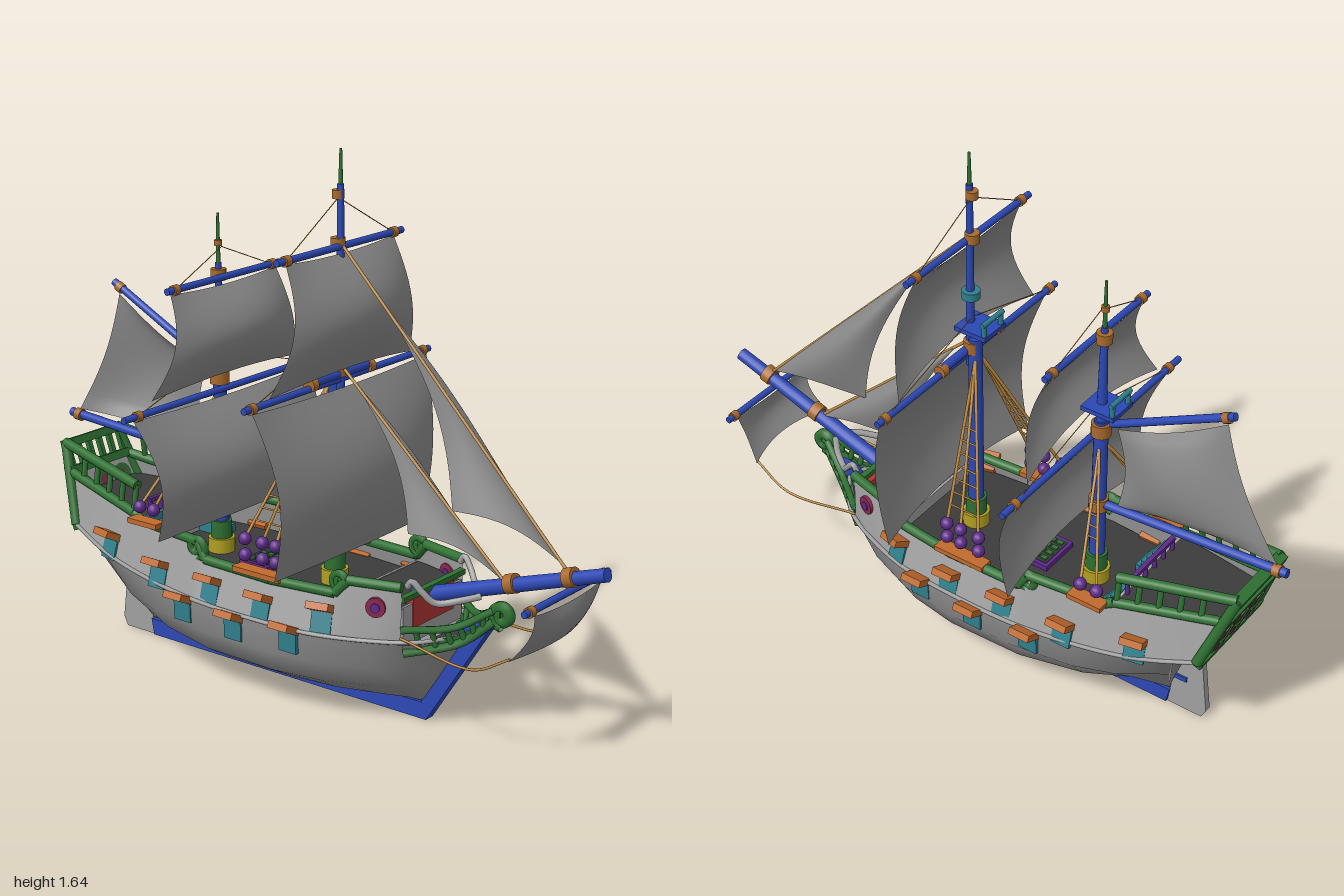
import * as THREE from 'three';

const HULL = 0xa0a0a0, LOWER = 0x8e8e8e, SAIL = 0x8a8a8a, DARK = 0x3c3c3c, BLUE = 0x2c48b4, GREEN = 0x2e7032, ORANGE = 0xc06a2c,
  BAND = 0xa86a2c, ROPE = 0xc08c40, TEAL = 0x2f7f8c, PURPLE = 0x5e2a8a, WINE = 0x84284e, RED = 0xb03434, YELLOW = 0xb0a020;

const lerp = THREE.MathUtils.lerp;
const V = (x, y, z) => new THREE.Vector3(x, y, z);

// Look up a row of values at z in a table sorted from bow to stern
function at(table, z) {
  let i = 0;
  while (i < table.length - 2 && z < table[i + 1][0]) i++;
  const a = table[i], b = table[i + 1];
  const t = THREE.MathUtils.clamp((z - a[0]) / (b[0] - a[0]), 0, 1);
  return a.map((v, k) => lerp(v, b[k], t));
}
// [z, half width, y] of the sheer line; [z, half width, y, z shift] of the bulwark top
const SHEER = [[0.46, 0.13, 0.29], [0.35, 0.19, 0.285], [0.17, 0.245, 0.28], [0, 0.26, 0.28], [-0.25, 0.262, 0.285],
  [-0.45, 0.245, 0.3], [-0.6, 0.225, 0.32], [-0.7, 0.205, 0.34], [-0.83, 0.17, 0.375]];
const TOP = [[0.42, 0.15, 0.452, 0], [0.26, 0.19, 0.45, 0], [0.22, 0.2, 0.405, 0], [0, 0.22, 0.4, 0], [-0.25, 0.22, 0.405, 0],
  [-0.28, 0.218, 0.455, 0], [-0.53, 0.195, 0.46, 0], [-0.56, 0.188, 0.475, 0], [-0.83, 0.13, 0.53, -0.057]];
// Half width of the ship's side above the sheer
function sideX(z, y) {
  const s = at(SHEER, z), t = at(TOP, z);
  return lerp(s[1], t[1], (y - s[2]) / (t[2] - s[2]));
}

export function createModel() {
  const ship = new THREE.Group();
  ship.name = 'sailingShip';
  const mats = {};
  const add = (name, geo, color, parent = ship) => {
    const m = new THREE.Mesh(geo, mats[color] ??= new THREE.MeshStandardMaterial({ color, side: THREE.DoubleSide }));
    m.name = name;
    parent.add(m);
    return m;
  };
  const box = (name, w, h, d, x, y, z, color, parent) => {
    const m = add(name, new THREE.BoxGeometry(w, h, d), color, parent);
    m.position.set(x, y, z);
    return m;
  };
  const rod = (name, a, b, r, color, r2 = r) => {
    const m = add(name, new THREE.CylinderGeometry(r2, r, a.distanceTo(b), r > 0.006 ? 14 : 6), color);
    m.position.copy(a).lerp(b, 0.5);
    m.quaternion.setFromUnitVectors(V(0, 1, 0), b.clone().sub(a).normalize());
  };
  const tube = (name, pts, r, color, seg = 32) =>
    add(name, new THREE.TubeGeometry(new THREE.CatmullRomCurve3(pts), seg, r, 6), color);
  // Surface through rows of points
  const loft = (name, rows, color) => {
    const n = rows[0].length, idx = [];
    for (let i = 0; i < rows.length - 1; i++) for (let j = 0; j < n - 1; j++) {
      const a = i * n + j, b = a + n;
      idx.push(a, b, a + 1, a + 1, b, b + 1);
    }
    const g = new THREE.BufferGeometry().setFromPoints(rows.flat());
    g.setIndex(idx);
    g.computeVertexNormals();
    add(name, g, color);
  };
  const patch = (name, f, color = SAIL, n = 14) =>
    loft(name, Array.from({ length: n + 1 }, (_, i) => Array.from({ length: n + 1 }, (_, j) => f(j / n, i / n))), color);
  // Flat plate drawn in the (z, y) plane
  const plate = (name, pts, t, color) => {
    const s = new THREE.Shape(pts.map(p => new THREE.Vector2(...p)));
    add(name, new THREE.ExtrudeGeometry(s, { depth: t, bevelEnabled: false }).translate(0, 0, -t / 2).rotateY(-Math.PI / 2), color);
  };
  const scroll = (name, x, y, z, R, r, color, dir = 1) => tube(name, Array.from({ length: 17 }, (_, i) => {
    const a = dir * (i / 16) * Math.PI * 3 - Math.PI / 2, q = R * (1 - 0.75 * i / 16);
    return V(x, y + Math.sin(a) * q, z + Math.cos(a) * q);
  }), r, color, 48);

  // Hull below the sheer: z, rake, bottom y, four half widths, sheer y
  const stations = [[0.41, 0.6, 0.05, 0.01, 0.012, 0.014, 0.015, 0.3], [0.36, 0.45, 0.055, 0.03, 0.08, 0.11, 0.13, 0.29],
    [0.28, 0.3, 0.055, 0.06, 0.14, 0.178, 0.19, 0.285], [0.15, 0.1, 0.055, 0.1, 0.195, 0.235, 0.245, 0.28],
    [0, 0, 0.055, 0.12, 0.22, 0.258, 0.26, 0.28], [-0.25, 0, 0.055, 0.12, 0.215, 0.258, 0.262, 0.285],
    [-0.45, 0, 0.055, 0.07, 0.17, 0.235, 0.245, 0.3], [-0.58, 0, 0.05, 0.02, 0.1, 0.195, 0.228, 0.317],
    [-0.655, -0.15, 0.05, 0.012, 0.035, 0.14, 0.205, 0.34], [-0.735, 0, 0.3, 0.14, 0.165, 0.18, 0.197, 0.349],
    [-0.83, 0, 0.36, 0.15, 0.16, 0.167, 0.17, 0.375]];
  loft('hull', stations.map(([z, rake, yb, w0, w1, w2, w3, ys]) => {
    const half = [[0, 0], [w0, 0.03], [w1, 0.28], [w2, 0.6], [w3, 1]].map(([x, t]) => {
      const y = lerp(yb, ys, t);
      return V(x, y, z + rake * (y - 0.06));
    });
    return [...half.slice(1).reverse().map(p => V(-p.x, p.y, p.z)), ...half];
  }), LOWER);
  plate('keelAndStem', [[0.625, 0.33], [0.415, 0], [-0.65, 0], [-0.66, 0.052], [0.4, 0.052], [0.395, 0.07], [0.54, 0.33]], 0.035, BLUE);
  plate('rudder', [[-0.652, 0], [-0.77, 0], [-0.785, 0.03], [-0.75, 0.31], [-0.69, 0.31]], 0.022, HULL);
  for (const y of [0.12, 0.2]) box('rudderHinge', 0.034, 0.016, 0.05, 0, y, -0.69 - (y - 0.12) * 0.2, BLUE);

  // Decks and bulkheads
  const deck = (name, y, z0, z1) => patch(name, (u, v) => {
    const z = lerp(z0, z1, v);
    return V((u * 2 - 1) * (sideX(z, y) - 0.004), y, z + at(TOP, z)[3] * 0.7);
  }, DARK);
  deck('mainDeck', 0.345, 0.24, -0.56);
  deck('foreDeck', 0.385, 0.42, 0.22);
  deck('quarterDeck', 0.46, -0.55, -0.83);
  box('foreDeckStep', 0.39, 0.045, 0.008, 0, 0.365, 0.22, HULL);
  box('quarterDeckStep', 0.39, 0.12, 0.008, 0, 0.4, -0.55, HULL);
  box('bowBulkhead', 0.29, 0.12, 0.008, 0, 0.33, 0.418, HULL);
  box('bowPanel', 0.2, 0.09, 0.03, 0, 0.36, 0.41, RED);
  box('bowBeam', 0.3, 0.016, 0.02, 0, 0.415, 0.42, GREEN);
  // Hatch grating
  box('hatch', 0.14, 0.02, 0.11, 0, 0.352, -0.19, PURPLE);
  box('hatchOpening', 0.116, 0.004, 0.088, 0, 0.362, -0.19, DARK);
  for (let i = 0; i < 12; i++) box('hatchBar', 0.016, 0.01, 0.02, -0.042 + (i % 4) * 0.028, 0.364, -0.217 + Math.floor(i / 4) * 0.027, GREEN);
  // Low rail across the front of the quarterdeck
  box('quarterRail', 0.25, 0.012, 0.014, 0, 0.5, -0.56, PURPLE);
  for (let i = 0; i < 6; i++) rod('quarterBaluster', V(-0.12 + i * 0.048, 0.46, -0.56), V(-0.12 + i * 0.048, 0.5, -0.56), 0.007, PURPLE);

  for (const s of [1, -1]) {
    // Bulwark, rails and wale
    const zs = [...new Set([...SHEER.slice(1), ...TOP].map(r => r[0]))].sort((a, b) => b - a);
    const topPt = (z, up = 0) => { const t = at(TOP, z); return V(s * (t[1] - up * 0.15), t[2] + up, z + t[3] - up * 0.35 * (z < -0.8)); };
    const sheerPt = z => { const p = at(SHEER, z); return V(s * p[1], p[2], z); };
    loft('bulwark', zs.map(z => [sheerPt(z), topPt(z)]), HULL);
    tube('wale', [V(s * 0.02, 0.3, 0.55), ...SHEER.map(r => V(s * r[1], r[2], r[0]))], 0.007, HULL, 60);
    for (let i = 0; i < TOP.length - 1; i++) rod('railCap', topPt(TOP[i][0]), topPt(TOP[i + 1][0]), 0.015, GREEN);
    rod('sternRail', topPt(-0.56, 0.085), topPt(-0.83, 0.085), 0.016, GREEN);
    for (let i = 0; i < 6; i++) { const z = -0.565 - i * 0.052; rod('sternBaluster', topPt(z), topPt(z, 0.085), 0.009, GREEN); }
    rod('sternCornerPost', sheerPt(-0.83), topPt(-0.83, 0.085), 0.016, GREEN);
    scroll('foreScroll', s * 0.193, 0.442, 0.235, 0.03, 0.012, GREEN, -1);
    scroll('waistScroll', s * 0.218, 0.435, -0.285, 0.034, 0.013, GREEN);
    tube('bowCurl', [V(s * 0.13, 0.45, 0.425), V(s * 0.13, 0.47, 0.44), V(s * 0.12, 0.44, 0.47), V(s * 0.1, 0.41, 0.5), V(s * 0.06, 0.42, 0.56), V(s * 0.02, 0.43, 0.6)], 0.01, HULL);

    // Beakhead
    const low = [V(s * 0.012, 0.36, 0.64), V(s * 0.05, 0.285, 0.55), V(s * 0.14, 0.25, 0.42)];
    const high = [V(s * 0.015, 0.395, 0.64), V(s * 0.065, 0.335, 0.54), V(s * 0.155, 0.325, 0.42)];
    tube('beakLowerRail', low, 0.014, GREEN);
    tube('beakUpperRail', high, 0.012, GREEN);
    const lc = new THREE.CatmullRomCurve3(low), hc = new THREE.CatmullRomCurve3(high);
    for (let i = 1; i < 7; i++) rod('beakBaluster', lc.getPoint(i / 7), hc.getPoint(i / 7), 0.009, GREEN);
    patch('beakPlank', (u, v) => lc.getPoint(v).lerp(hc.getPoint(v), u * 0.5), GREEN, 8);
    patch('beakFloor', (u, v) => lc.getPoint(v).setX(lc.getPoint(v).x * u), DARK, 8);

    // Forecastle porthole
    const hole = add('porthole', new THREE.CylinderGeometry(0.03, 0.03, 0.016, 20).rotateZ(Math.PI / 2), WINE);
    hole.position.set(s * sideX(0.35, 0.385), 0.385, 0.35);
    const hub = add('portholeCentre', new THREE.CylinderGeometry(0.014, 0.014, 0.024, 16).rotateZ(Math.PI / 2), PURPLE);
    hub.position.copy(hole.position);
    hole.rotation.y = hub.rotation.y = -s * 0.3;

    // Gun ports with raised lids
    for (const [z, y] of [[0.19, 0.365], [-0.015, 0.352], [-0.21, 0.36], [-0.42, 0.362], [-0.645, 0.395], [0.09, 0.287], [-0.11, 0.278], [-0.31, 0.287]]) {
      const low = y < 0.3, x = low ? at(SHEER, z)[1] : sideX(z, y);
      const g = new THREE.Group();
      g.name = 'gunPort';
      g.position.set(s * x, y, z);
      g.rotation.y = s * (z < -0.5 ? 0.2 : z > 0.1 ? -0.25 : 0);
      ship.add(g);
      box('lid', 0.065, 0.022, 0.07, s * 0.02, 0, 0, ORANGE, g).rotation.z = s * 0.45;
      box('opening', 0.012, 0.07, 0.064, s * (low ? -0.001 : 0.011), -0.045, 0, TEAL, g).rotation.z = s * (low ? -0.03 : 0.28);
    }

    // Shrouds, ratlines and deadeyes
    for (const [yTop, zTop, foot, feet, rungs, rows] of [[0.96, 0.055, 0.44, [0.015, -0.035, -0.1], 7, [0, -0.05]], [0.84, -0.38, 0.45, [-0.46, -0.515], 4, [0]]]) {
      const head = V(s * 0.015, yTop, zTop), ends = feet.map(z => V(s * 0.215, foot + 0.063, z));
      for (const e of ends) {
        rod('shroud', head, e, 0.005, ROPE);
        for (const dy of rows) add('deadeye', new THREE.SphereGeometry(0.02, 12, 8), PURPLE).position.set(e.x, e.y + dy, e.z);
      }
      for (let i = 0; i < rungs; i++) {
        const t = 0.4 + i * 0.08;
        rod('ratline', head.clone().lerp(ends[0], t), head.clone().lerp(ends.at(-1), t), 0.003, ROPE);
      }
      box('channel', 0.045, 0.016, feet[0] - feet.at(-1) + 0.06, s * 0.218, foot - 0.03 + (rungs < 5) * 0.05, (feet[0] + feet.at(-1)) / 2, ORANGE);
    }
    // Stairs to the quarterdeck and spritsail sheets
    for (let i = 0; i < 5; i++) box('stair', 0.07, 0.024 * (i + 1), 0.018, s * 0.125, 0.345 + 0.012 * (i + 1), -0.465 - i * 0.018, TEAL);
    tube('spritsailSheet', [V(s * 0.17, 0.34, 0.8), V(s * 0.175, 0.28, 0.68), V(s * 0.155, 0.3, 0.42)], 0.004, ROPE);
  }
  scroll('figureheadScroll', 0, 0.38, 0.662, 0.034, 0.018, GREEN, -1);

  // Transom with arched windows
  patch('transom', (u, v) => V((u * 2 - 1) * lerp(0.17, 0.13, v), lerp(0.36, 0.53, v), lerp(-0.83, -0.887, v)), HULL, 4);
  const stern = new THREE.Group();
  stern.name = 'sternGallery';
  stern.position.set(0, 0.37, -0.83);
  stern.rotation.x = -0.34;
  ship.add(stern);
  for (const [w, y] of [[0.34, 0], [0.28, 0.17], [0.25, 0.255]]) box('sternBeam', w, 0.026, 0.034, 0, y, 0, GREEN, stern);
  for (let i = 0; i < 6; i++) box('sternRailPost', 0.016, 0.08, 0.016, -0.115 + i * 0.046, 0.21, 0, GREEN, stern);
  const arch = r => {
    const sh = new THREE.Shape().moveTo(-r, 0).lineTo(r, 0).lineTo(r, 0.085);
    sh.absarc(0, 0.085, r, 0, Math.PI);
    return sh;
  };
  for (const x of [-0.085, 0, 0.085]) {
    const ex = (r, d) => new THREE.ExtrudeGeometry(arch(r), { depth: d, bevelEnabled: false, curveSegments: 8 }).translate(x, 0.02, -d);
    add('windowFrame', ex(0.038, 0.012), GREEN, stern);
    add('windowPane', ex(0.024, 0.015), WINE, stern);
    box('windowBarUpright', 0.008, 0.108, 0.01, x, 0.075, -0.014, GREEN, stern);
    box('windowBarCross', 0.05, 0.008, 0.01, x, 0.07, -0.014, GREEN, stern);
  }

  // Masts with bands, platform and finial
  const mast = (z, lean, yLow, yHigh, yTip, rTop, bands, yPlat) => {
    rod('lowerMast', V(0, 0.3, z), V(0, yLow, z), 0.025, BLUE, 0.021);
    rod('topMast', V(0, yLow - 0.1, z + lean), V(0, yHigh, z + lean), rTop, BLUE, 0.01);
    rod('mastTip', V(0, yHigh, z + lean), V(0, yTip, z + lean), 0.007, GREEN, 0.004);
    for (const [y, r] of bands) rod('mastBand', V(0, y - r * 0.7, z + lean / 2), V(0, y + r * 0.7, z + lean / 2), r, BAND);
    rod('mastFoot', V(0, 0.345, z), V(0, 0.39, z), 0.042, YELLOW);
    rod('mastCollar', V(0, 0.39, z), V(0, 0.445, z), 0.033, GREEN);
    box('topPlatform', 0.1, 0.014, 0.11, 0, yPlat, z - 0.015, BLUE);
    for (const x of [-0.04, 0.04]) rod('platformPost', V(x, yPlat, z - 0.06), V(x, yPlat + 0.045, z - 0.06), 0.008, TEAL);
    rod('platformRail', V(-0.05, yPlat + 0.045, z - 0.06), V(0.05, yPlat + 0.045, z - 0.06), 0.008, TEAL);
  };
  mast(0.065, 0.018, 1.03, 1.54, 1.64, 0.014, [[1, 0.028], [1.37, 0.022], [1.51, 0.018]], 1.075);
  mast(-0.375, 0, 0.93, 1.25, 1.4, 0.018, [[0.63, 0.03], [0.9, 0.03], [1.215, 0.024], [1.31, 0.012]], 0.985);
  rod('mainTopCollar', V(0, 1.165, 0.08), V(0, 1.19, 0.08), 0.028, TEAL);

  // Yards with end bands and lifts
  const yard = (y, z, half, band, yLift) => {
    rod('yard', V(-half, y, z), V(half, y, z), 0.0105, BLUE);
    for (const s of [1, -1]) {
      rod('yardBand', V(s * (band - 0.011), y, z), V(s * (band + 0.011), y, z), 0.0155, BAND);
      if (yLift) rod('lift', V(0, yLift, z - 0.01), V(s * band, y, z), 0.0015, ROPE);
    }
  };
  yard(1.361, 0.085, 0.29, 0.248, 1.5);
  yard(0.972, 0.085, 0.435, 0.4, 1.1);
  yard(1.21, -0.352, 0.255, 0.22, 1.3);
  yard(0.868, -0.352, 0.45, 0.39, 0.98);
  yard(0.5, 0.87, 0.215, 0.185, 0);
  rod('yardSling', V(-0.14, 0.988, 0.085), V(0.14, 0.988, 0.085), 0.014, BLUE);
  for (const x of [-0.135, 0.135]) rod('slingBand', V(x - 0.012, 0.982, 0.085), V(x + 0.012, 0.982, 0.085), 0.02, BAND);

  // Square sails: billow strongest along the middle
  const square = (name, yT, wT, yB, wB, z0, z1, bulge, arc) => patch(name, (u, v) => {
    const k = u * 2 - 1, c = 1 - k * k;
    return V(k * (lerp(wT, wB, v) - 0.015 * Math.sin(Math.PI * v)), lerp(yT, yB, v) - 0.012 * c * (1 - v) + arc * c * v,
      lerp(z0, z1, v) + bulge * Math.sin(Math.PI * v) * (0.6 + 0.4 * c) + 0.035 * v * c);
  });
  square('mainTopsail', 1.352, 0.25, 0.985, 0.33, 0.085, 0.09, 0.08, 0.03);
  square('mainCourse', 0.96, 0.41, 0.46, 0.355, 0.095, 0.125, 0.075, 0.015);
  square('mizzenTopsail', 1.2, 0.24, 0.9, 0.33, -0.352, -0.352, 0.07, 0.03);
  square('mizzenCourse', 0.858, 0.41, 0.485, 0.36, -0.352, -0.31, 0.075, 0.015);
  square('spritsail', 0.485, 0.17, 0.335, 0.175, 0.875, 0.8, 0.025, 0.01);

  // Bowsprit, stays and jibs
  rod('bowsprit', V(0, 0.37, 0.36), V(0, 0.58, 0.995), 0.025, BLUE, 0.02);
  for (const z of [0.88, 0.69]) rod('bowspritBand', V(0, 0.251 + z * 0.33, z - 0.015), V(0, 0.261 + z * 0.33, z + 0.015), 0.029, BAND);
  rod('foreTopStay', V(0, 1.37, 0.085), V(0, 0.55, 0.88), 0.005, ROPE);
  rod('foreStay', V(0, 1.02, 0.08), V(0, 0.46, 0.69), 0.005, ROPE);
  const jib = (name, head, tack, clew, bulge) => patch(name, (u, v) => {
    const p = head.clone().lerp(tack.clone().lerp(clew, u), v);
    p.x += bulge * Math.sin(Math.PI * v * 0.85) * Math.sin(Math.PI * u * 0.8);
    p.z += 0.03 * u * Math.sin(Math.PI * v);
    p.y += 0.025 * v * Math.sin(Math.PI * u);
    return p;
  });
  jib('outerJib', V(0, 1.205, 0.25), V(0, 0.57, 0.865), V(0, 0.645, 0.47), 0.073);
  jib('innerJib', V(0, 0.975, 0.13), V(0, 0.475, 0.675), V(0, 0.545, 0.32), 0.055);

  // Gaff, boom and spanker with hollow edges
  rod('gaff', V(0, 0.93, -0.41), V(0, 1.13, -0.8), 0.012, BLUE);
  rod('boom', V(0, 0.63, -0.375), V(0, 0.675, -1), 0.014, BLUE);
  rod('gaffBand', V(0, 1.11, -0.765), V(0, 1.12, -0.785), 0.016, BAND);
  rod('boomBand', V(0, 0.67, -0.955), V(0, 0.672, -0.98), 0.019, BAND);
  patch('spanker', (u, v) => {
    const t = V(0, 0.92, -0.43).lerp(V(0, 1.095, -0.78), u), b = V(0, 0.645, -0.44).lerp(V(0, 0.69, -0.965), u);
    const p = t.lerp(b, v), su = Math.sin(Math.PI * u), sv = Math.sin(Math.PI * v);
    return V(0.055 * su * Math.sqrt(sv + 1e-6), p.y + 0.02 * su * (2 * v - 1), p.z + 0.025 * sv * (2 * u - 1));
  });
  return ship;
}
